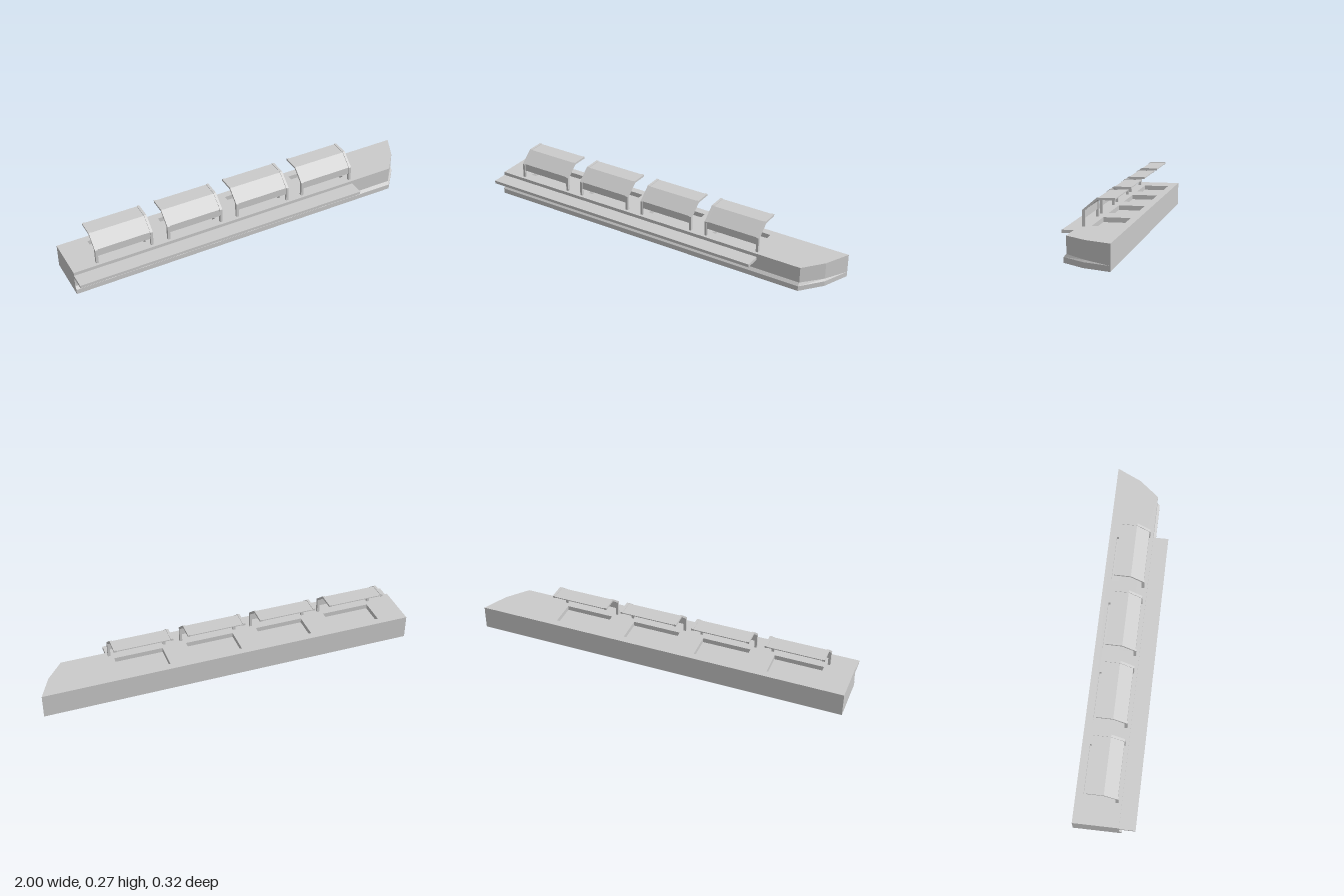
import * as THREE from 'three';

const material = new THREE.MeshStandardMaterial({ color: 0xcccccc, flatShading: true });

const TOP = 0.127, WELL_FLOOR = 0.102;
const STATIONS = [-0.719, -0.328, 0.064, 0.453];

// Counter outlines as [x, z], anticlockwise seen from above
const upper = [[-1, 0.077], [0.85, 0.077], [0.938, -0.03], [1, -0.16], [-1, -0.16]];
const plinth = [[-1, 0.09], [0.85, 0.09], [0.942, -0.021], [1, -0.16], [-1, -0.16]];

const toShape = (pts) => new THREE.Shape(pts.map(([a, b]) => new THREE.Vector2(a, b)));
const planShape = (outline) => toShape(outline.map(([x, z]) => [x, -z]));

function add(parent, name, geometry, x = 0, y = 0, z = 0) {
  const mesh = new THREE.Mesh(geometry, material);
  mesh.name = name;
  mesh.position.set(x, y, z);
  parent.add(mesh);
  return mesh;
}

// Walls between stacked rings of [x, y, z] points
function wallGeometry(rings) {
  const pos = [];
  for (let r = 0; r < rings.length - 1; r++) {
    const n = rings[r].length;
    for (let i = 0; i < n; i++) {
      const j = (i + 1) % n;
      const a = rings[r][i], b = rings[r][j], c = rings[r + 1][j], d = rings[r + 1][i];
      pos.push(...a, ...b, ...c, ...a, ...c, ...d);
    }
  }
  const g = new THREE.BufferGeometry();
  g.setAttribute('position', new THREE.Float32BufferAttribute(pos, 3));
  g.computeVertexNormals();
  return g;
}

// Extrudes a [z, y] side profile along x, centred on x = 0
function sideExtrude(profile, width) {
  return new THREE.ExtrudeGeometry(toShape(profile), { depth: width, bevelEnabled: false })
    .rotateY(-Math.PI / 2)
    .translate(width / 2, 0, 0);
}

function makeCounter() {
  const counter = new THREE.Group();
  counter.name = 'counter';
  const ring = (outline, heights) => outline.map(([x, z], i) => [x, heights[i] ?? heights[0], z]);

  // Lower body with the plinth moulding that fades towards the back corner
  add(counter, 'bodyWalls', wallGeometry([
    ring(plinth, [0]),
    ring(plinth, [0.027]),
    ring(upper, [0.042, 0.042, 0.037, 0.027, 0.027]),
    ring(upper, [WELL_FLOOR]),
  ]));
  add(counter, 'underside', new THREE.ShapeGeometry(planShape(plinth)).rotateX(Math.PI / 2).scale(1, 1, -1 * -1))
    .geometry.copy(new THREE.ShapeGeometry(planShape(plinth.map(([x, z]) => [x, -z]))).rotateX(Math.PI / 2));
  add(counter, 'wellFloors', new THREE.ShapeGeometry(planShape(upper)).rotateX(-Math.PI / 2), 0, WELL_FLOOR);

  // Worktop with one rectangular well per station
  const top = planShape(upper);
  for (const x of STATIONS) {
    const l = x - 0.13, r = x + 0.13, back = 0.12, front = -0.02;
    top.holes.push(new THREE.Path([[l, front], [l, back], [r, back], [r, front]]
      .map(([a, b]) => new THREE.Vector2(a, b))));
  }
  const slab = new THREE.ExtrudeGeometry(top, { depth: TOP - WELL_FLOOR, bevelEnabled: false });
  add(counter, 'worktop', slab.rotateX(-Math.PI / 2), 0, WELL_FLOOR);
  return counter;
}

// Bent end frames with a thin guard panel between them
function makeGuard(x) {
  const guard = new THREE.Group();
  guard.name = 'foodGuard';
  guard.position.x = x;
  const frame = sideExtrude([
    [0.061, TOP], [0.061, 0.207], [-0.011, 0.268], [-0.1, 0.268],
    [-0.1, 0.257], [-0.014, 0.257], [0.046, 0.206], [0.046, TOP],
  ], 0.013);
  for (const s of [-1, 1]) add(guard, 'guardFrame', frame, s * 0.1485);
  add(guard, 'guardPanel', sideExtrude([
    [0.056, 0.166], [0.056, 0.207], [-0.012, 0.265], [-0.1, 0.265],
    [-0.1, 0.26], [-0.013, 0.26], [0.051, 0.206], [0.051, 0.166],
  ], 0.286));
  return guard;
}

export function createModel() {
  const model = new THREE.Group();
  model.name = 'servingCounter';
  model.add(makeCounter());
  add(model, 'trayShelf', new THREE.BoxGeometry(1.61, 0.016, 0.085), -0.195, 0.101, 0.1175);
  for (const x of STATIONS) model.add(makeGuard(x));
  return model;
}
